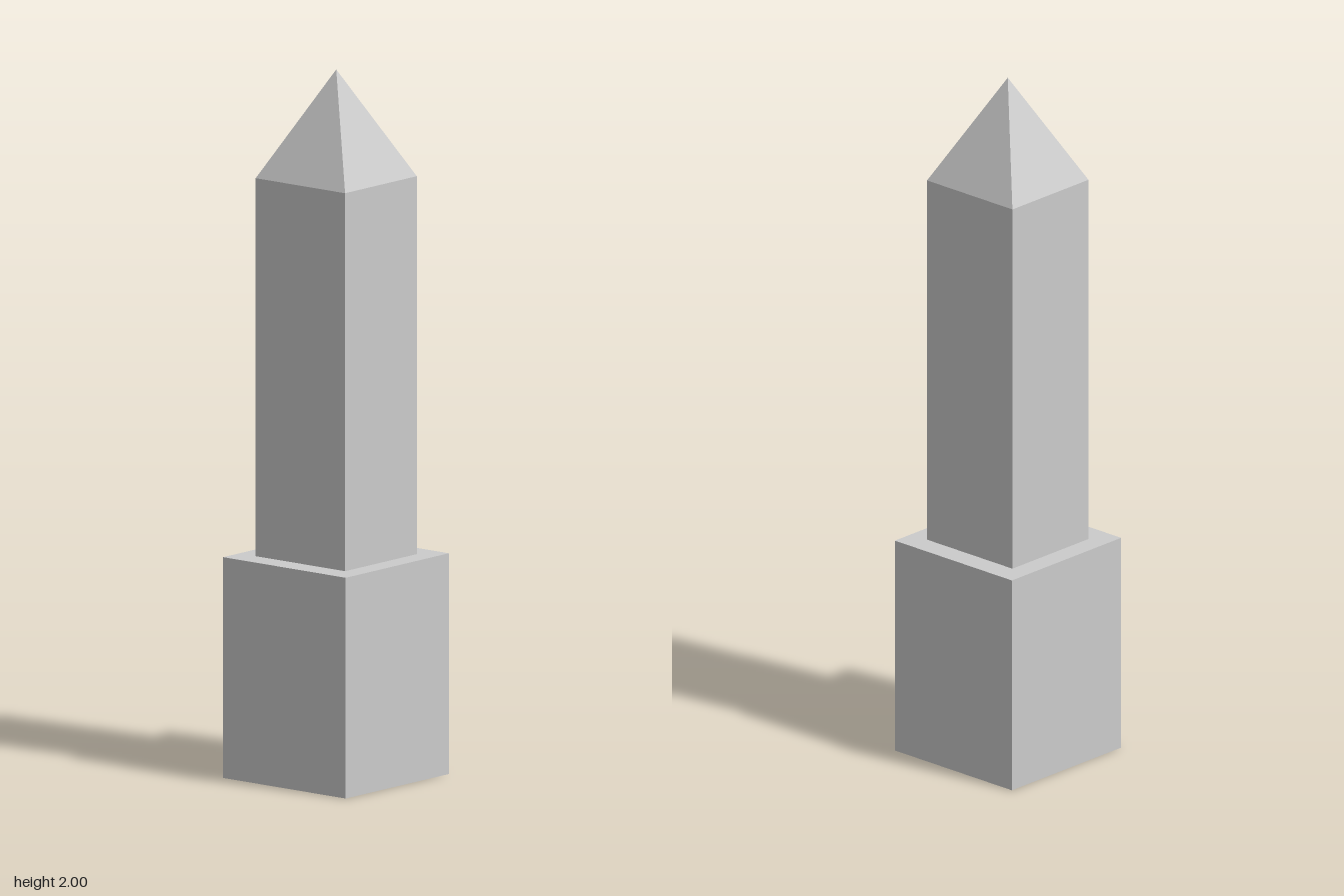
import * as THREE from 'three';

const material = new THREE.MeshStandardMaterial({ color: 0xcccccc, flatShading: true });

// Adds a named part whose underside sits at height y
function addPart(group, name, geometry, height, y, z = 0) {
  const mesh = new THREE.Mesh(geometry, material);
  mesh.name = name;
  mesh.position.set(0, y + height / 2, z);
  group.add(mesh);
}

export function createModel() {
  const group = new THREE.Group();
  group.name = 'obelisk';

  const baseWidth = 0.444, baseHeight = 0.625;
  const shaftWidth = 0.324, shaftDepth = 0.309, shaftHeight = 1.07;
  const capHeight = 2 - baseHeight - shaftHeight;
  const shaftZ = -0.001;

  // Square pedestal
  addPart(group, 'pedestal', new THREE.BoxGeometry(baseWidth, baseHeight, baseWidth), baseHeight, 0);

  // Straight shaft, slightly wider than deep
  addPart(group, 'shaft', new THREE.BoxGeometry(shaftWidth, shaftHeight, shaftDepth), shaftHeight, baseHeight, shaftZ);

  // Four-sided pointed cap: a unit-square pyramid scaled to the shaft
  const cap = new THREE.ConeGeometry(Math.SQRT1_2, capHeight, 4, 1, true);
  cap.rotateY(Math.PI / 4);
  cap.scale(shaftWidth, 1, shaftDepth);
  addPart(group, 'pyramidCap', cap, capHeight, baseHeight + shaftHeight, shaftZ);

  return group;
}
